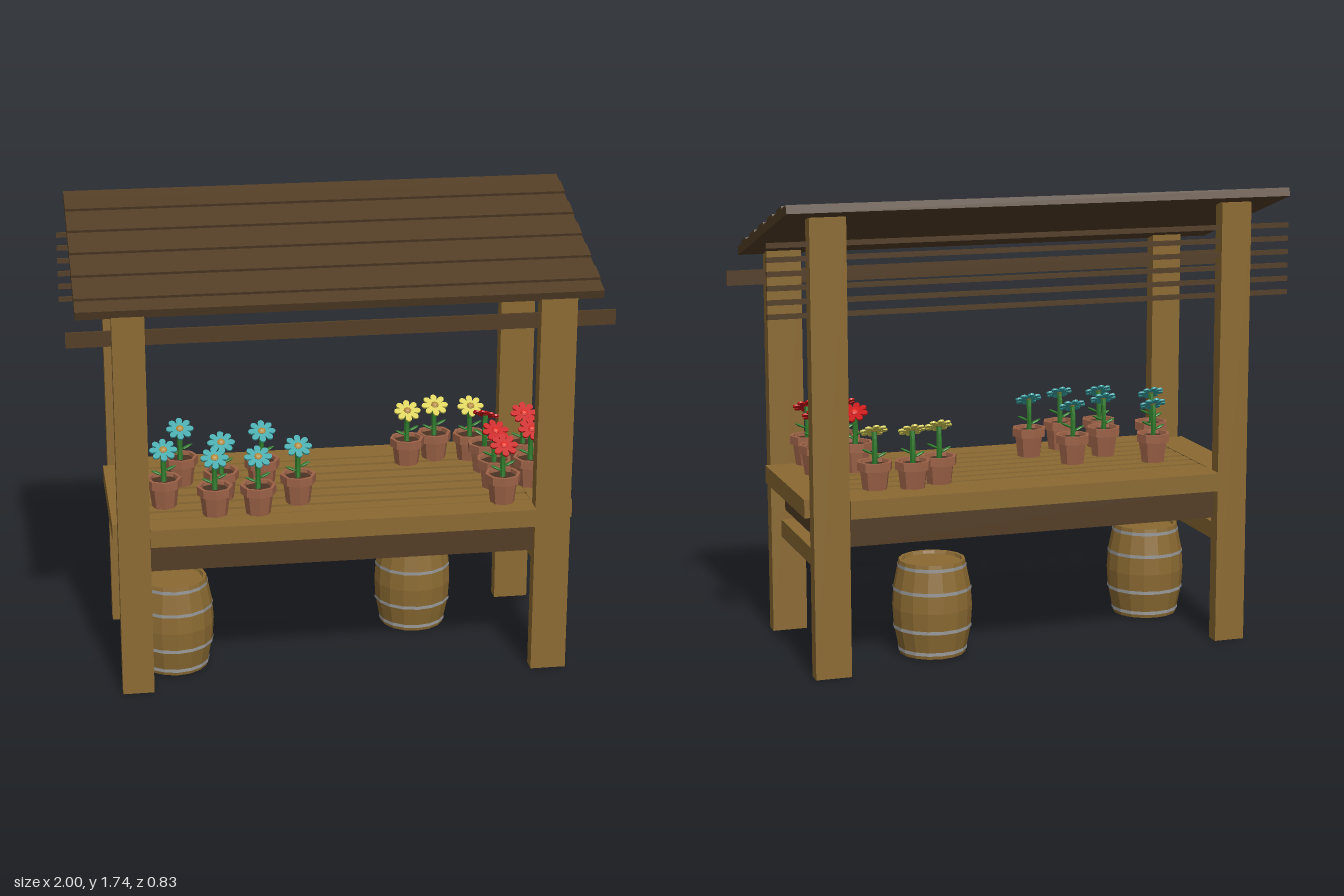
import * as THREE from 'three';

const mat = color => new THREE.MeshStandardMaterial({ color, flatShading: true });
const wood = mat(0x8b6a32), darkWood = mat(0x523d25), clay = mat(0x9c6247), soil = mat(0x4a3322);
const steel = mat(0x9a9a9a), green = mat(0x2f7a2c);
const colours = { teal: mat(0x3aa5a8), yellow: mat(0xd8cf55), red: mat(0xc81414) };
const centres = { teal: mat(0xb08a3c), yellow: mat(0xb08a3c), red: mat(0xe02a20) };

function add(parent, name, geometry, material, x = 0, y = 0, z = 0) {
  const mesh = new THREE.Mesh(geometry, material);
  mesh.name = name;
  mesh.position.set(x, y, z);
  parent.add(mesh);
  return mesh;
}

// Box given by its limits on each axis
function slab(parent, name, material, [x0, x1], [y0, y1], [z0, z1]) {
  return add(parent, name, new THREE.BoxGeometry(x1 - x0, y1 - y0, z1 - z0), material,
    (x0 + x1) / 2, (y0 + y1) / 2, (z0 + z1) / 2);
}

// Flat eight-petal flower outline, extruded
function petalGeometry(radius) {
  const points = [];
  for (let i = 0; i < 64; i++) {
    const a = (i / 64) * Math.PI * 2;
    const r = radius * (0.5 + 0.5 * Math.sqrt(Math.abs(Math.cos(4 * a))));
    points.push(new THREE.Vector2(Math.cos(a) * r, Math.sin(a) * r));
  }
  const g = new THREE.ExtrudeGeometry(new THREE.Shape(points), { depth: 0.007, bevelEnabled: false });
  return g.rotateX(-Math.PI / 2);
}
const petals = petalGeometry(0.052);
const potProfile = [[0, 0], [0.046, 0], [0.056, 0.08], [0.067, 0.08], [0.067, 0.112], [0.055, 0.112], [0.053, 0.095]]
  .map(p => new THREE.Vector2(...p));
const potGeometry = new THREE.LatheGeometry(potProfile, 8);

function pottedFlower(kind, x, y, z, turn = 0) {
  const plant = new THREE.Group();
  plant.name = kind + 'PottedFlower';
  add(plant, 'pot', potGeometry, clay);
  add(plant, 'soil', new THREE.CylinderGeometry(0.054, 0.054, 0.01, 8), soil, 0, 0.093, 0);
  const path = new THREE.QuadraticBezierCurve3(new THREE.Vector3(0, 0.09, 0),
    new THREE.Vector3(0, 0.16, -0.01), new THREE.Vector3(0, 0.22, 0.002));
  add(plant, 'stem', new THREE.TubeGeometry(path, 5, 0.01, 6), green);
  for (const s of [-1, 1]) {
    const leaf = add(plant, 'leaf', new THREE.SphereGeometry(1, 6, 4), green, s * 0.025, 0.14 + s * 0.008, 0);
    leaf.scale.set(0.025, 0.005, 0.011);
    leaf.rotation.z = s * 0.45;
  }
  // Bloom leans forward
  const head = new THREE.Group();
  head.name = 'bloom';
  head.position.set(0, 0.22, 0.005);
  head.rotation.x = 0.55;
  add(head, 'petals', petals, colours[kind]);
  add(head, 'flowerCentre', new THREE.SphereGeometry(0.016, 8, 5), centres[kind], 0, 0.006, 0).scale.y = 0.6;
  plant.add(head);
  plant.position.set(x, y, z);
  plant.rotation.y = turn;
  return plant;
}

// Bulging barrel with recessed lids and four hoops
function barrel(x, z) {
  const group = new THREE.Group();
  group.name = 'barrel';
  const profile = [[0, 0.012], [0.11, 0.012], [0.114, 0], [0.125, 0], [0.146, 0.105], [0.151, 0.18],
    [0.146, 0.255], [0.125, 0.36], [0.114, 0.36], [0.11, 0.348], [0, 0.348]].map(p => new THREE.Vector2(...p));
  add(group, 'staves', new THREE.LatheGeometry(profile, 16), wood);
  for (const [y, r] of [[0.02, 0.131], [0.107, 0.149], [0.253, 0.149], [0.34, 0.131]]) {
    add(group, 'hoop', new THREE.CylinderGeometry(r, r, 0.013, 16, 1, true), steel, 0, y, 0);
  }
  group.position.set(x, 0.004, z);
  return group;
}

export function createModel() {
  const model = new THREE.Group();
  model.name = 'flowerStall';

  // Four posts, taller at the back
  for (const [x0, x1] of [[-0.837, -0.72], [0.716, 0.85]]) {
    slab(model, 'frontPost', wood, [x0, x1], [0, 1.485], [0.32, 0.378]);
    slab(model, 'backPost', wood, [x0, x1], [0, 1.68], [-0.355, -0.297]);
  }
  // Low side rails
  for (const x of [-0.778, 0.781]) {
    slab(model, 'sideRail', wood, [x - 0.03, x + 0.03], [0.375, 0.442], [-0.3, 0.325]);
  }

  // Apron boards joining the posts under the table
  const yApron = [0.48, 0.595];
  slab(model, 'frontApron', darkWood, [-0.725, 0.72], yApron, [0.325, 0.35]);
  slab(model, 'backApron', darkWood, [-0.725, 0.72], yApron, [-0.325, -0.3]);
  slab(model, 'sideApron', darkWood, [-0.79, -0.765], yApron, [-0.3, 0.325]);
  slab(model, 'sideApron', darkWood, [0.77, 0.795], yApron, [-0.3, 0.325]);

  // Table top notched around the posts, with spaced planks over a dark bed
  const yTop = [0.592, 0.66];
  slab(model, 'tableFrontBeam', wood, [-0.72, 0.716], yTop, [0.29, 0.396]);
  slab(model, 'tableBackBeam', wood, [-0.72, 0.716], yTop, [-0.37, -0.25]);
  slab(model, 'tableEndBeam', wood, [-0.855, -0.72], yTop, [-0.297, 0.32]);
  slab(model, 'tableEndBeam', wood, [0.716, 0.87], yTop, [-0.297, 0.32]);
  slab(model, 'tableUnderside', wood, [-0.72, 0.716], [0.592, 0.61], [-0.25, 0.29]);
  slab(model, 'tableBed', darkWood, [-0.72, 0.716], [0.61, 0.64], [-0.25, 0.29]);
  const planks = 7, pitch = 0.54 / planks;
  for (let i = 0; i < planks; i++) {
    const z = -0.25 + i * pitch;
    slab(model, 'tablePlank', wood, [-0.72, 0.716], [0.63, 0.658], [z + 0.01, z + pitch - 0.01]);
  }

  // Sloping roof with every second plank raised
  const roof = new THREE.Group();
  roof.name = 'roof';
  roof.position.set(-0.01, 1.601, -0.015);
  roof.rotation.x = Math.atan(0.3);
  add(roof, 'roofDeck', new THREE.BoxGeometry(1.91, 0.032, 0.828), darkWood);
  for (let i = 0; i < 5; i++) {
    add(roof, 'raisedRoofPlank', new THREE.BoxGeometry(1.91, 0.022, 0.08), darkWood, 0, 0.015, 0.302 - i * 0.152);
  }
  model.add(roof);

  // Hanging slats at the back and a board at the front
  for (let i = 0; i < 6; i++) {
    const y = 1.334 + i * 0.0505;
    slab(model, 'backSlat', darkWood, [-1, 1], [y - 0.009, y + 0.009], [-0.333, -0.321]);
  }
  slab(model, 'frontBoard', darkWood, [-1, 1], [1.356, 1.412], [0.339, 0.351]);

  model.add(barrel(-0.622, 0.13), barrel(0.345, -0.138));

  // Flower groups on the table; red pots stand slightly higher
  for (const [x, z] of [[-0.65, 0.15], [-0.57, -0.07], [-0.47, 0.26], [-0.43, 0.1], [-0.31, 0.27], [-0.265, 0], [-0.15, 0.18]]) {
    model.add(pottedFlower('teal', x, 0.658, z));
  }
  for (const [x, z] of [[0.324, -0.17], [0.441, -0.22], [0.577, -0.19]]) {
    model.add(pottedFlower('yellow', x, 0.65, z));
  }
  for (const [x, z, turn] of [[0.595, 0.347, 0], [0.595, 0.19, 0.2], [0.595, 0.015, 2.6], [0.745, 0.01, 0], [0.735, 0.19, 0]]) {
    model.add(pottedFlower('red', x, 0.684, z, turn));
  }
  return model;
}
